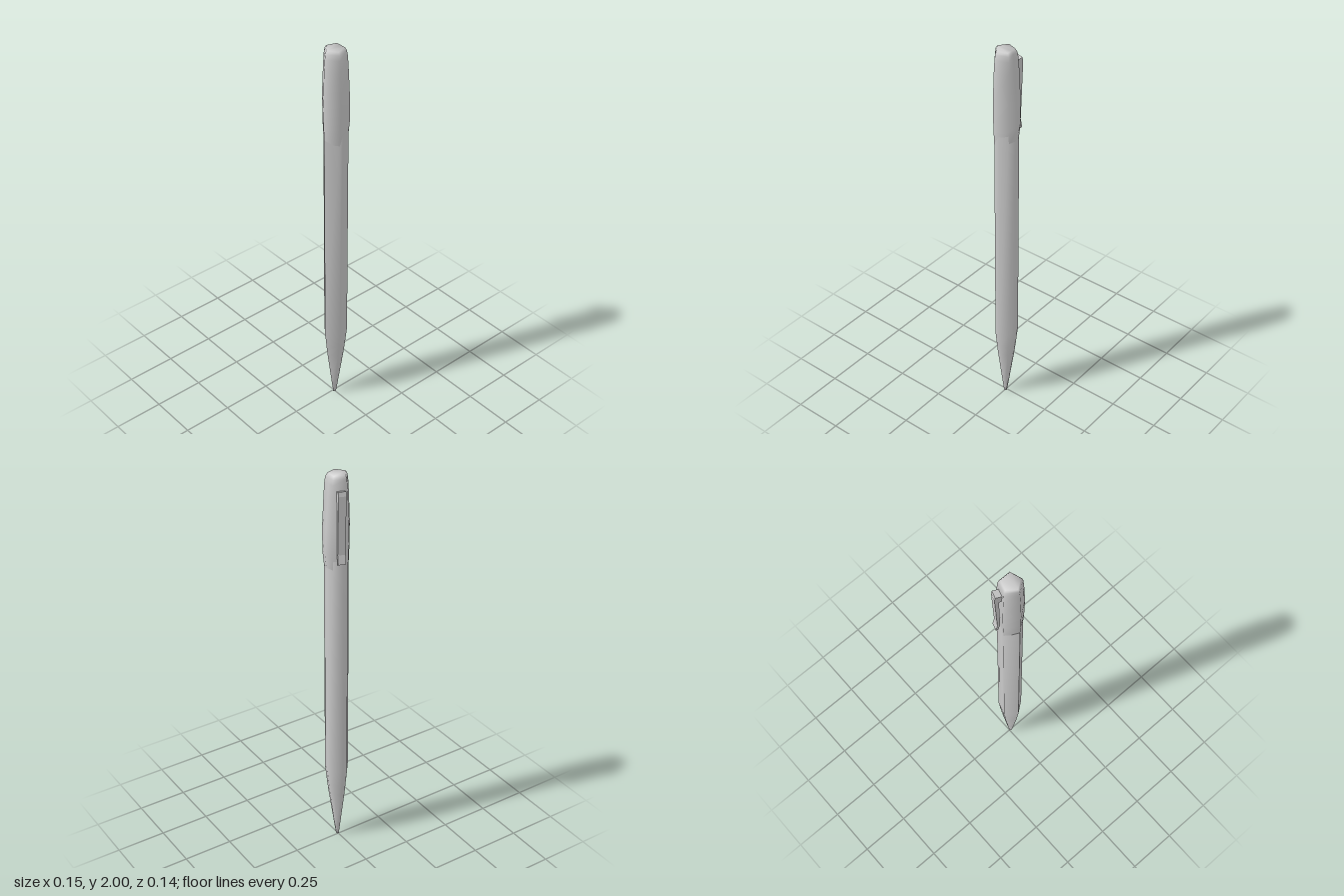
import * as THREE from 'three';
import { toCreasedNormals } from 'three/addons/utils/BufferGeometryUtils.js';

const material = new THREE.MeshStandardMaterial({ color: 0xcccccc });
const AXIS_X = 0.007;

// Skin closed rings (bottom to top), each a list of [x, y, z], and close both ends.
function loft(rings) {
  const n = rings[0].length, pos = rings.flat(2), idx = [];
  for (let r = 0; r < rings.length - 1; r++) {
    for (let i = 0; i < n; i++) {
      const a = r * n + i, b = r * n + (i + 1) % n;
      idx.push(a, b, b + n, a, b + n, a + n);
    }
  }
  const top = (rings.length - 1) * n;
  for (let i = 1; i < n - 1; i++) {
    idx.push(0, i + 1, i);
    idx.push(top, top + i, top + i + 1);
  }
  const geometry = new THREE.BufferGeometry();
  geometry.setAttribute('position', new THREE.Float32BufferAttribute(pos, 3));
  geometry.setIndex(idx);
  return toCreasedNormals(geometry, 1.3);
}

// Mirror a half outline (front point ... back point) into a full ring.
function ring(half, y, s = 1) {
  const mirrored = half.slice(1, -1).reverse().map(([x, z]) => [-x, z]);
  return [...half, ...mirrored].map(([x, z]) => [x * s, y, z * s]);
}

function addPart(group, name, geometry) {
  const mesh = new THREE.Mesh(geometry, material);
  mesh.name = name;
  group.add(mesh);
  return mesh;
}

export function createModel() {
  const pen = new THREE.Group();
  pen.name = 'pen';

  // Barrel: five-sided with a shallow ridge at the back, tapering to the tip
  const barrel = [[0, 0.062], [0.058, 0.017], [0.053, -0.004], [0.039, -0.049], [0, -0.06]];
  const taper = [[0, 0.13], [0.1, 0.36], [0.27, 0.74], [0.33, 0.85], [0.42, 1], [1.6, 1]];
  addPart(pen, 'barrel', loft(taper.map(([y, s]) => ring(barrel, y, s))));

  // Cap: pentagon that swells downwards, with its back ridge growing towards the rim
  // Columns: height, radius, back corner depth, back ridge depth
  const capProfile = [
    [1.53, 0.061, 0.048, 0.058],
    [1.62, 0.065, 0.057, 0.068],
    [1.75, 0.067, 0.056, 0.061],
    [1.9, 0.061, 0.050, 0.051],
    [1.96, 0.057, 0.047, 0.047],
    [1.985, 0.053, 0.043, 0.043],
    [2, 0.045, 0.036, 0.036],
  ];
  addPart(pen, 'cap', loft(capProfile.map(([y, r, corner, ridge]) =>
    ring([[0, r], [r * 0.951, r * 0.29], [r * 0.588, -corner], [0, -ridge]], y))));

  // Pocket clip: bridge at the top, slim bar, flared hook at the bottom
  const profile = new THREE.Shape([
    [0.04, 1.93], [0.04, 1.89], [0.062, 1.88], [0.058, 1.63], [0.068, 1.58],
    [0.079, 1.585], [0.071, 1.63], [0.082, 1.92], [0.078, 1.942],
  ].map(([d, y]) => new THREE.Vector2(d, y)));
  const width = 0.037;
  const clipGeometry = new THREE.ExtrudeGeometry(profile, { depth: width, bevelEnabled: false });
  clipGeometry.translate(0, 0, -width / 2);
  const clip = addPart(pen, 'clip', clipGeometry);
  clip.rotation.y = Math.PI * 0.9;

  pen.children.forEach((part) => { part.position.x = AXIS_X; });
  return pen;
}
